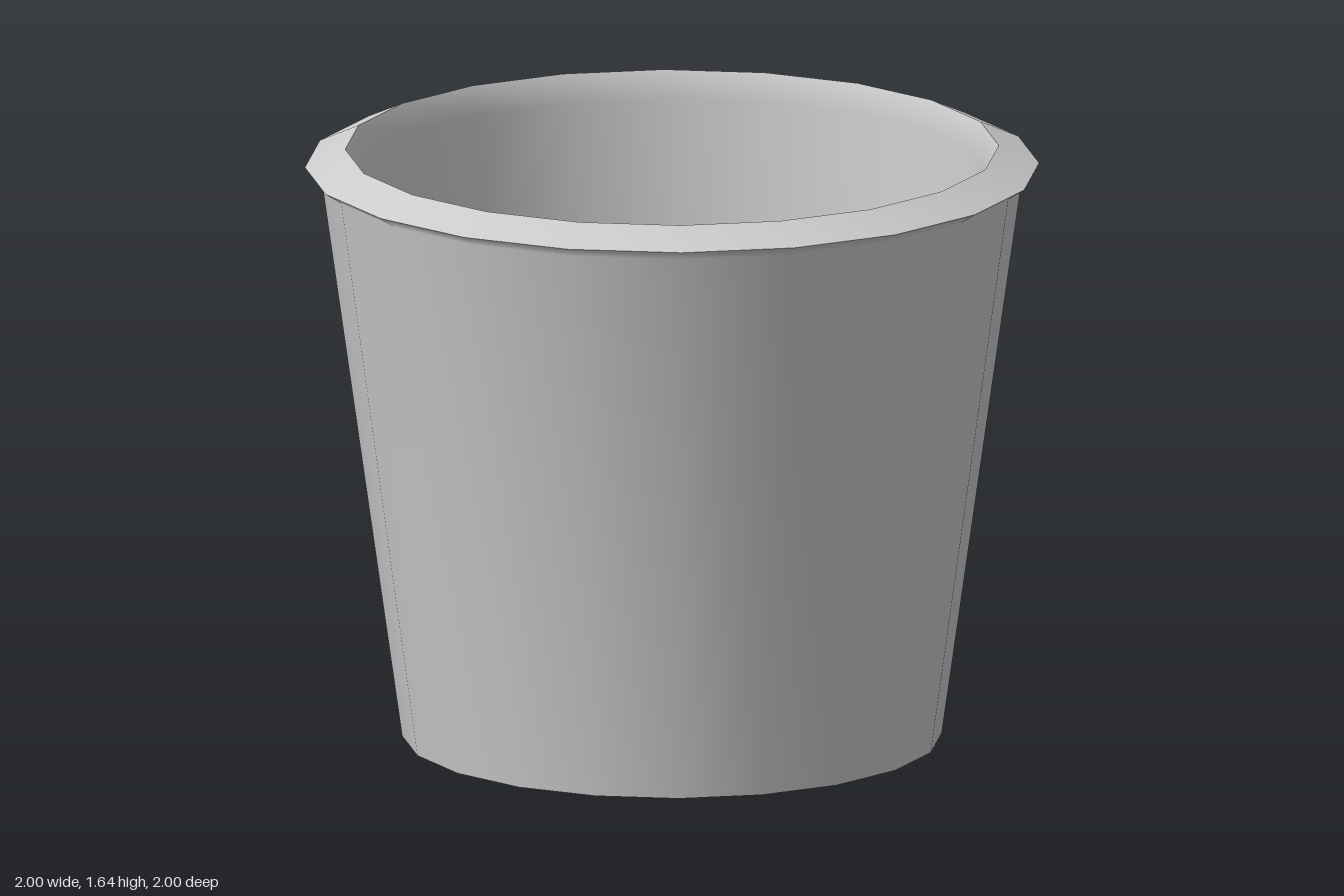
import * as THREE from 'three';
import { mergeVertices } from 'three/addons/utils/BufferGeometryUtils.js';

const SIDES = 20;
const BASE_RADIUS = 0.735;

// Revolve a profile of [radius, height] points, smooth within the profile
// and sharp where two profiles meet.
function revolve(name, profile, material) {
  const points = profile.map(([r, y]) => new THREE.Vector2(r, y));
  let geometry = new THREE.LatheGeometry(points, SIDES);
  geometry.deleteAttribute('uv');
  geometry.deleteAttribute('normal');
  geometry = mergeVertices(geometry, 1e-4);
  geometry.computeVertexNormals();
  const mesh = new THREE.Mesh(geometry, material);
  mesh.name = name;
  return mesh;
}

export function createModel() {
  const group = new THREE.Group();
  group.name = 'bucket';
  const material = new THREE.MeshStandardMaterial({ color: 0xcccccc });
  const thin = new THREE.MeshStandardMaterial({ color: 0xcccccc, side: THREE.DoubleSide });

  // Tapered outside, flaring under the lip
  group.add(revolve('outerWall', [[BASE_RADIUS, 0], [0.955, 1.565], [1, 1.595]], material));

  // Sloping top of the lip
  group.add(revolve('rim', [[1, 1.595], [0.89, 1.645]], material));

  // Inside of the lip and the wall down to the floor
  group.add(revolve('innerWall', [[0.89, 1.645], [0.855, 1.57], [BASE_RADIUS, 0]], material));

  // Floor, seen from inside and from below
  const floor = new THREE.Mesh(new THREE.CircleGeometry(BASE_RADIUS, SIDES).rotateX(-Math.PI / 2), thin);
  floor.name = 'floor';
  group.add(floor);

  return group;
}
